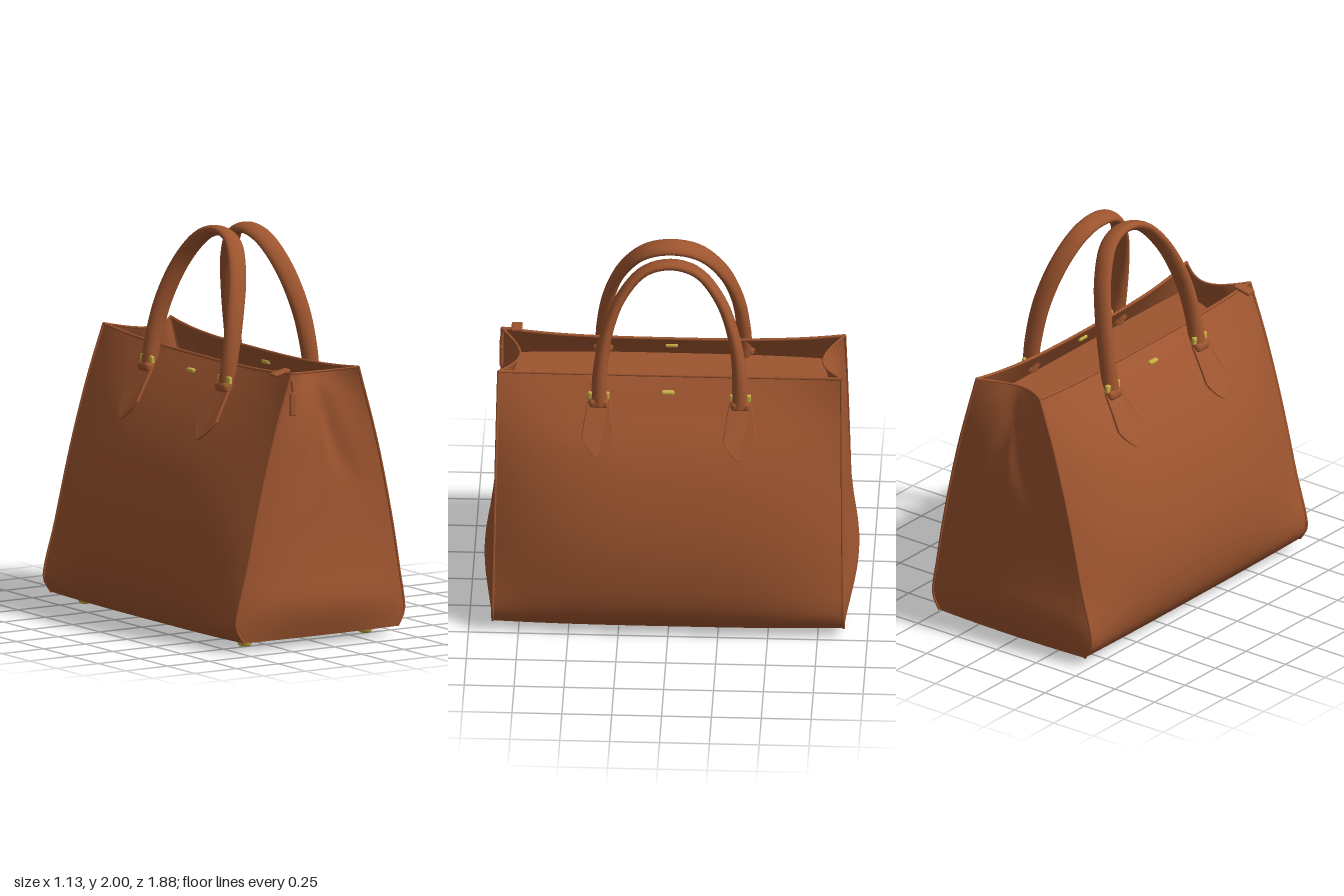
import * as THREE from 'three';
import { mergeVertices } from 'three/addons/utils/BufferGeometryUtils.js';
import { RoundedBoxGeometry } from 'three/addons/geometries/RoundedBoxGeometry.js';

const leather = new THREE.MeshStandardMaterial({ color: 0x9e552f, side: THREE.DoubleSide });
leather.name = 'tan leather';
const dark = new THREE.MeshStandardMaterial({ color: 0x271618, side: THREE.DoubleSide });
dark.name = 'dark base';
const gold = new THREE.MeshStandardMaterial({ color: 0xc9ae44 });
gold.name = 'gold metal';

const { lerp, clamp, smoothstep } = THREE.MathUtils;
const V = (x, y, z) => new THREE.Vector3(x, y, z);
const curve = pts => new THREE.CatmullRomCurve3(pts.map(p => V(p[0], p[1], p[2] ?? 0)));
const endZ = v => lerp(.88, .86, v); // half length at the seams, base to rim
const COVER = 1.2; // height of the recessed cover

// Side profiles (x, y) from the base to the rim, at the corner seams and mid-length
const profiles = {
  '1': {
    corner: curve([[.455, .045], [.492, .11], [.465, .35], [.415, .65], [.34, 1], [.235, 1.38]]),
    mid: curve([[.46, .035], [.515, .1], [.552, .2], [.567, .38], [.55, .6], [.487, .85], [.4, 1.05], [.29, 1.21], [.19, 1.35]]),
  },
  '-1': {
    corner: curve([[-.465, .045], [-.508, .11], [-.44, .42], [-.35, .8], [-.255, 1.13], [-.165, 1.385]]),
    mid: curve([[-.46, .035], [-.515, .1], [-.552, .2], [-.567, .38], [-.54, .6], [-.465, .84], [-.37, 1.04], [-.26, 1.21], [-.155, 1.35]]),
  },
};

// Point on a large side panel: u runs -1..1 along the bag, v runs 0..1 upward
function panelPoint(s, u, v) {
  const p = profiles[s].corner.getPointAt(v).lerp(profiles[s].mid.getPointAt(v), 1 - Math.abs(u) ** 3);
  p.z = u * endZ(v);
  return p;
}

// Panel x at a given height
function panelX(s, y, z) {
  const u = clamp(z / endZ(.85), -1, 1);
  let lo = 0, hi = 1;
  for (let i = 0; i < 16; i++) {
    const m = (lo + hi) / 2;
    if (panelPoint(s, u, m).y < y) lo = m; else hi = m;
  }
  return panelPoint(s, u, lo).x;
}

// Point on an end gusset: bulged near the base, folded inward near the rim
const gussetDepth = curve([.015, .06, .042, .022, .01, 0, -.012, -.045, -.1].map((d, i) => [i / 8, d]));
function gussetPoint(e, u, v) {
  const p = profiles['-1'].corner.getPointAt(v).lerp(profiles['1'].corner.getPointAt(v), u);
  const arch = Math.sin(Math.PI * u) ** lerp(.7, 1, v);
  // two creases spreading downward from a point below the rim
  const spread = .28 * (1 - smoothstep(v, .35, .92));
  const crease = c => Math.exp(-(((u - c) / .1) ** 2));
  const fold = Math.max(crease(.53 - spread), crease(.53 + spread)) * smoothstep(v, .45, .8) * (1 - smoothstep(v, .85, 1));
  p.z = e * (endZ(v) + arch * gussetDepth.getPoint(v).y - .025 * fold);
  p.y -= .022 * arch * smoothstep(v, .9, 1);
  return p;
}

// Smooth surface from a rule over a grid
function grid(fn, nu, nv) {
  const pos = [], idx = [];
  for (let j = 0; j <= nv; j++) for (let i = 0; i <= nu; i++) pos.push(...fn(i / nu, j / nv).toArray());
  for (let j = 0; j < nv; j++) for (let i = 0; i < nu; i++) {
    const a = j * (nu + 1) + i, b = a + nu + 1;
    idx.push(a, a + 1, b, a + 1, b + 1, b);
  }
  let g = new THREE.BufferGeometry();
  g.setAttribute('position', new THREE.Float32BufferAttribute(pos, 3));
  g.setIndex(idx);
  g = mergeVertices(g, 1e-5);
  g.computeVertexNormals();
  return g;
}

// Flattened strap handle swept along an arch
function handleGeometry(top, low, s) {
  const half = [[.352, 1.23], [.35, 1.4], [.323, 1.6], [.25, 1.8], [.135, 1.935]];
  const arch = [...half, [0, 1.972], ...half.map(([z, y]) => [-z, y]).reverse()];
  const lean = y => lerp(low, top, (y - 1.23) / .742) + s * .025 * Math.sin(Math.PI * (y - 1.23) / .742);
  const path = curve(arch.map(([z, y]) => [lean(y), y, z]));
  const wide = V(.742, low - top, 0).normalize();
  return grid((a, t) => {
    const normal = wide.clone().cross(path.getTangentAt(t)).normalize();
    const ang = a * Math.PI * 2, leg = Math.abs(2 * t - 1);
    return path.getPointAt(t)
      .addScaledVector(wide, Math.cos(ang) * lerp(.052, .04, leg ** 3))
      .addScaledVector(normal, Math.sin(ang) * lerp(.025, .043, leg * leg));
  }, 16, 56);
}

// Pointed leather tab shaped to the panel
function tabGeometry(s, z0) {
  const shape = new THREE.Shape();
  shape.moveTo(0, 1.0);
  shape.quadraticCurveTo(.05, 1.03, .08, 1.09);
  shape.quadraticCurveTo(.068, 1.16, .052, 1.25);
  shape.lineTo(-.052, 1.25);
  shape.quadraticCurveTo(-.068, 1.16, -.08, 1.09);
  shape.quadraticCurveTo(-.05, 1.03, 0, 1.0);
  const g = new THREE.ExtrudeGeometry(shape, { depth: .007, bevelSize: .004, bevelThickness: .005, bevelSegments: 2, curveSegments: 8 });
  const p = g.attributes.position;
  for (let i = 0; i < p.count; i++) {
    const y = p.getY(i), z = z0 - s * p.getX(i);
    p.setXYZ(i, panelX(s, y, z) + s * (p.getZ(i) + .003), y, z);
  }
  g.computeVertexNormals();
  return g;
}

export function createModel() {
  const bag = new THREE.Group();
  bag.name = 'handbag';
  const add = (name, geo, mat, x = 0, y = 0, z = 0) => {
    const m = new THREE.Mesh(geo, mat);
    m.name = name;
    m.position.set(x, y, z);
    bag.add(m);
    return m;
  };
  const piping = (name, fn, r) => {
    const pts = Array.from({ length: 17 }, (_, i) => fn(i / 16));
    add(name, new THREE.TubeGeometry(new THREE.CatmullRomCurve3(pts), 40, r, 8), leather);
  };

  for (const s of [1, -1]) {
    const side = s > 0 ? 'left' : 'right';

    // Large panel, rim and corner seams
    add(side + 'Panel', grid((a, v) => panelPoint(s, s * (1 - 2 * a), v), 40, 36), leather);
    piping(side + 'Rim', a => panelPoint(s, 2 * a - 1, 1), .008);
    for (const e of [1, -1]) piping(side + 'Seam', v => panelPoint(s, e, v), .007);

    // Handle with its tabs, collars and pins
    add(side + 'Handle', handleGeometry(s > 0 ? .135 : -.028, s > 0 ? .29 : -.23, s), leather);
    for (const e of [1, -1]) {
      const x = s > 0 ? .29 : -.235, z = e * .355;
      add(side + 'HandleTab', tabGeometry(s, z), leather);
      add(side + 'HandleCollar', new RoundedBoxGeometry(.07, .05, .1, 3, .02), leather, x, 1.25, z);
      add(side + 'HandlePin', new RoundedBoxGeometry(.022, .042, .108, 2, .008), gold, x, 1.287, z);
    }

    // Small clasp, riveted through the panel
    add(side + 'Clasp', new RoundedBoxGeometry(.026, .022, .064, 3, .009), gold, panelX(s, 1.28, 0), 1.28, .01);
  }

  // Folded end gussets
  for (const e of [1, -1]) {
    const name = e > 0 ? 'frontGusset' : 'backGusset';
    add(name, grid((a, v) => gussetPoint(e, e > 0 ? a : 1 - a, v), 36, 36), leather);
    piping(name + 'Rim', a => gussetPoint(e, a, 1), .006);
  }

  // Recessed cover inside the opening
  add('innerCover', grid((a, w) => {
    const z = lerp(gussetPoint(1, a, .87).z, gussetPoint(-1, a, .87).z, w);
    return V(lerp(panelX(-1, COVER, z) + .006, panelX(1, COVER, z) - .006, a), COVER, z);
  }, 12, 24), leather);

  // Base and metal feet
  add('base', grid((a, w) => {
    const u = 2 * w - 1;
    const p = panelPoint(-1, u, 0).lerp(panelPoint(1, u, 0), a);
    p.z += u * .015 * Math.sin(Math.PI * a) ** .7;
    p.y -= .015 * Math.sin(Math.PI * a) * (1 - u * u);
    return p;
  }, 36, 20), dark);
  const foot = new THREE.LatheGeometry([[0, 0], [.025, 0], [.036, .01], [.038, .028], [.03, .045], [.022, .06]].map(p => new THREE.Vector2(...p)), 16);
  for (const x of [-.36, .36]) for (const z of [-.73, .73]) add('foot', foot, gold, x, 0, z);

  // Zip end tab hanging over the front corner
  add('zipEnd', new RoundedBoxGeometry(.1, .018, .055, 2, .008), leather, -.185, 1.382, .785).rotation.z = .2;
  add('zipStrap', new THREE.TubeGeometry(curve([[-.165, 1.385, .8], [-.163, 1.375, .845], [-.16, 1.33, .86], [-.16, 1.26, .86]]), 20, .009, 8), leather);
  add('zipPull', new RoundedBoxGeometry(.036, .12, .018, 2, .007), leather, -.16, 1.23, .862);
  return bag;
}
